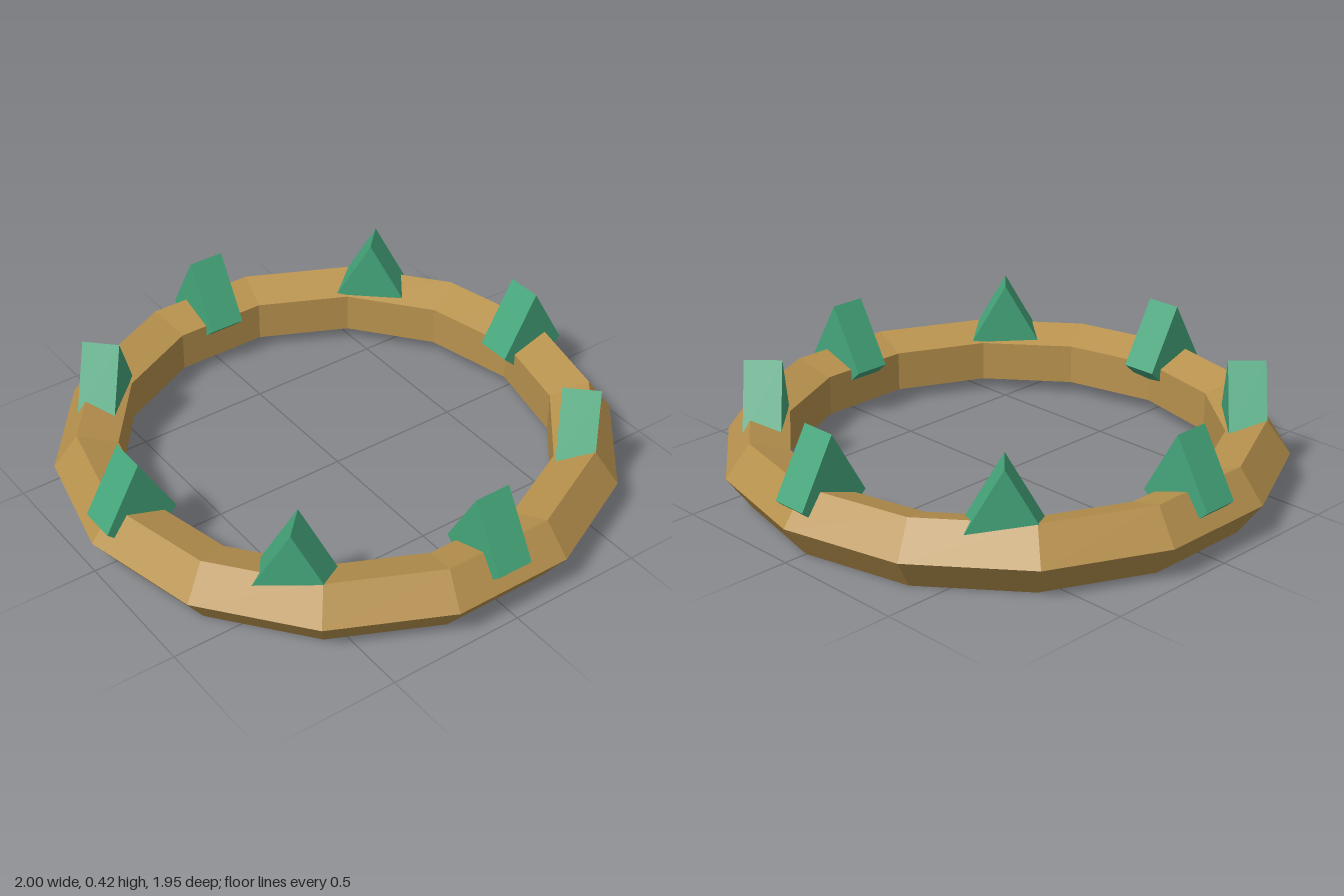
import * as THREE from 'three';

const RING_RADIUS = 0.874;
const TUBE_RADIUS = 0.126;
const RING_HEIGHT = 0.12;
const STUD_COUNT = 8;
const STUD_RADIUS = 0.842;
const STUD_WIDTH = 0.134;

// Wedge cross-section: tall point on top, short keel sunk into the ring
function createStudGeometry() {
  const profile = new THREE.Shape([
    new THREE.Vector2(0, 0.423),
    new THREE.Vector2(-0.133, 0.19),
    new THREE.Vector2(0, 0.07),
    new THREE.Vector2(0.133, 0.19),
  ]);
  const geometry = new THREE.ExtrudeGeometry(profile, { depth: STUD_WIDTH, bevelEnabled: false });
  return geometry.translate(0, 0, -STUD_WIDTH / 2);
}

export function createModel() {
  const model = new THREE.Group();
  model.name = 'studdedRing';

  const bandMaterial = new THREE.MeshStandardMaterial({ color: 0xb8924e, flatShading: true });
  const studMaterial = new THREE.MeshStandardMaterial({ color: 0x45a67b, flatShading: true });

  // Fourteen-sided band with a five-sided section, lying flat
  const band = new THREE.Mesh(
    new THREE.TorusGeometry(RING_RADIUS, TUBE_RADIUS, 5, 14).rotateX(Math.PI / 2),
    bandMaterial
  );
  band.name = 'band';
  band.position.y = RING_HEIGHT;
  model.add(band);

  // Wedge studs: ridges run along the band on the axes and across it on the diagonals
  const studs = new THREE.Group();
  studs.name = 'studs';
  const studGeometry = createStudGeometry();
  for (let i = 0; i < STUD_COUNT; i++) {
    const angle = (i / STUD_COUNT) * Math.PI * 2;
    const stud = new THREE.Mesh(studGeometry, studMaterial);
    stud.name = `stud${i + 1}`;
    stud.position.set(Math.cos(angle) * STUD_RADIUS, 0, Math.sin(angle) * STUD_RADIUS);
    stud.rotation.y = angle;
    studs.add(stud);
  }
  model.add(studs);

  return model;
}
